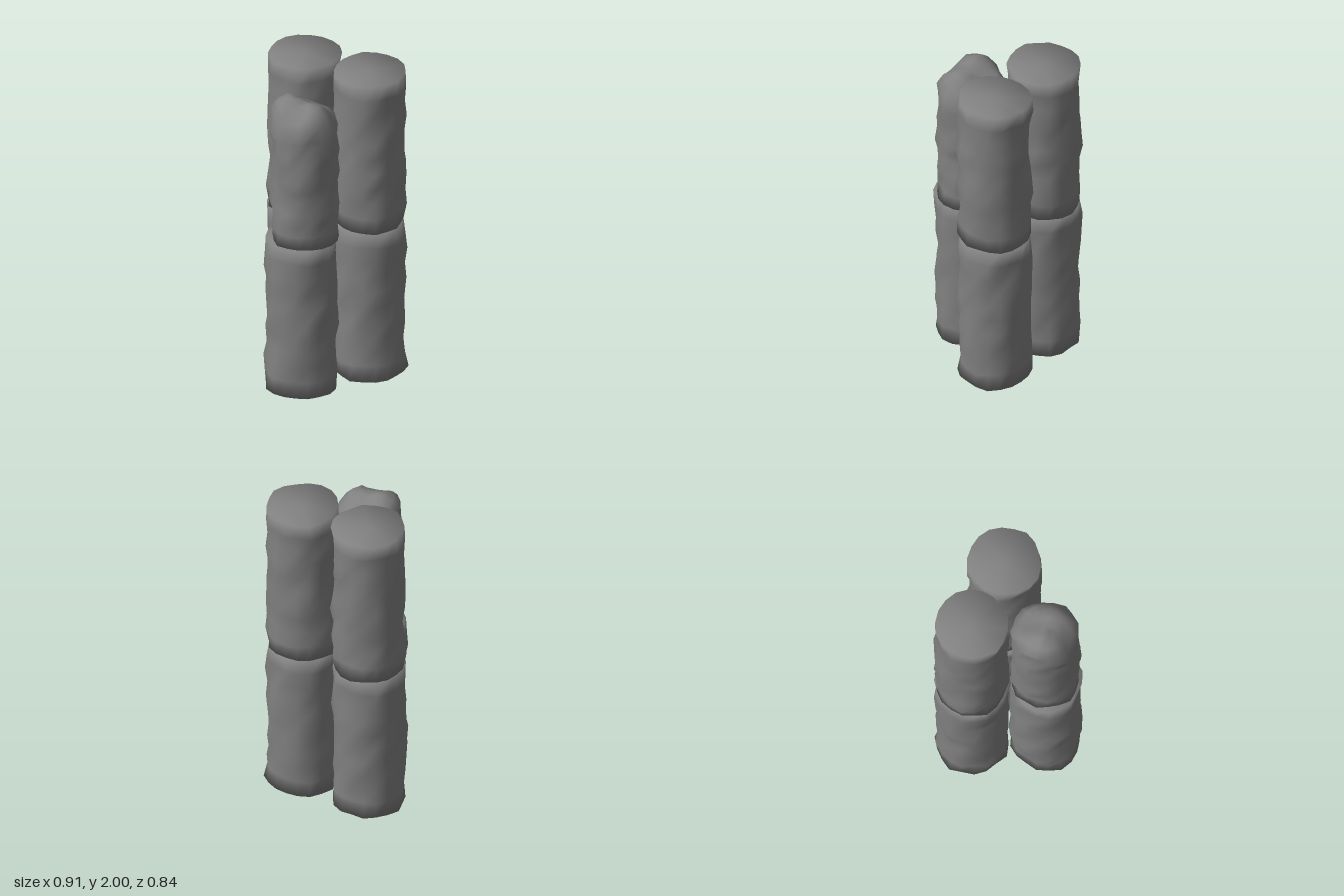
import * as THREE from 'three';
import { mergeVertices } from 'three/addons/utils/BufferGeometryUtils.js';

const SIDES = 18, ROWS = 11;

// Repeatable noise in -1..1
function noise(a, b, seed) {
  const s = Math.sin(a * 12.9898 + b * 78.233 + seed * 37.719) * 43758.5453;
  return (s - Math.floor(s)) * 2 - 1;
}

// Piecewise linear lookup through [position, value] points
function lookup(points, v) {
  if (v <= points[0][0]) return points[0][1];
  for (let i = 1; i < points.length; i++) {
    const [p0, a] = points[i - 1], [p1, b] = points[i];
    if (v <= p1) return a + (b - a) * (v - p0) / (p1 - p0);
  }
  return points[points.length - 1][1];
}

// Slopes of the broken crown, measured down from its peak
const dropAcross = [[-0.2, 0.08], [-0.12, 0], [0, 0.03], [0.11, 0.035], [0.15, 0.08], [0.2, 0.17]];
const dropDeep = [[-0.2, 0.12], [-0.12, 0.09], [-0.03, 0.02], [0.03, 0], [0.12, 0.04], [0.2, 0.15]];
function crown(x, z) {
  return 0.945 - lookup(dropAcross, x) - lookup(dropDeep, z);
}

// Lumpy stone drum, one unit tall, its closed ends shaded smoothly into the wall
function drumGeometry(radius, seed, broken) {
  const rings = [[0, 0]];
  for (let i = 0; i < ROWS; i++) rings.push([1, i / (ROWS - 1)]);
  if (broken) rings.push([0.8, 1], [0.55, 1], [0.28, 1]);
  rings.push([0, 1]);

  const positions = [], index = [];
  rings.forEach(([scale, t], row) => {
    for (let s = 0; s < SIDES; s++) {
      const a = s / SIDES * Math.PI * 2;
      const lump = scale === 1
        ? 0.011 * noise(s, row, seed) + 0.006 * Math.sin(a * 3 + t * 9 + seed) + 0.003 * Math.sin(t * 22 + seed)
        : 0;
      const r = scale * radius + lump;
      const x = Math.sin(a) * r, z = Math.cos(a) * r;
      const y = broken ? t * crown(x, z) : t;
      positions.push(x, y, z);
      if (row > 0) {
        const n = (s + 1) % SIDES, lo = (row - 1) * SIDES, hi = row * SIDES;
        index.push(lo + s, lo + n, hi + n, lo + s, hi + n, hi + s);
      }
    }
  });
  let geometry = new THREE.BufferGeometry();
  geometry.setAttribute('position', new THREE.Float32BufferAttribute(positions, 3));
  geometry.setIndex(index);
  geometry = mergeVertices(geometry, 1e-5);
  geometry.computeVertexNormals();
  return geometry;
}

export function createModel() {
  const model = new THREE.Group();
  model.name = 'stoneColumns';
  const stone = new THREE.MeshStandardMaterial({ color: 0x808080 });

  function addDrum(name, x, y, z, radius, seed, broken = false) {
    const drum = new THREE.Mesh(drumGeometry(radius, seed, broken), stone);
    drum.name = name;
    drum.position.set(x, y, z);
    model.add(drum);
  }

  // Two full rear columns
  for (const [side, x, seed] of [['Right', -0.225, 1], ['Left', 0.225, 2]]) {
    addDrum(`rear${side}LowerDrum`, x, 0, -0.19, 0.215, seed);
    addDrum(`rear${side}UpperDrum`, x, 1, -0.19, 0.215, seed + 4);
  }

  // Front column with a broken, slightly shifted upper drum
  addDrum('frontLowerDrum', -0.015, 0, 0.2, 0.212, 3);
  addDrum('frontBrokenDrum', 0, 1, 0.19, 0.2, 8, true);

  return model;
}
